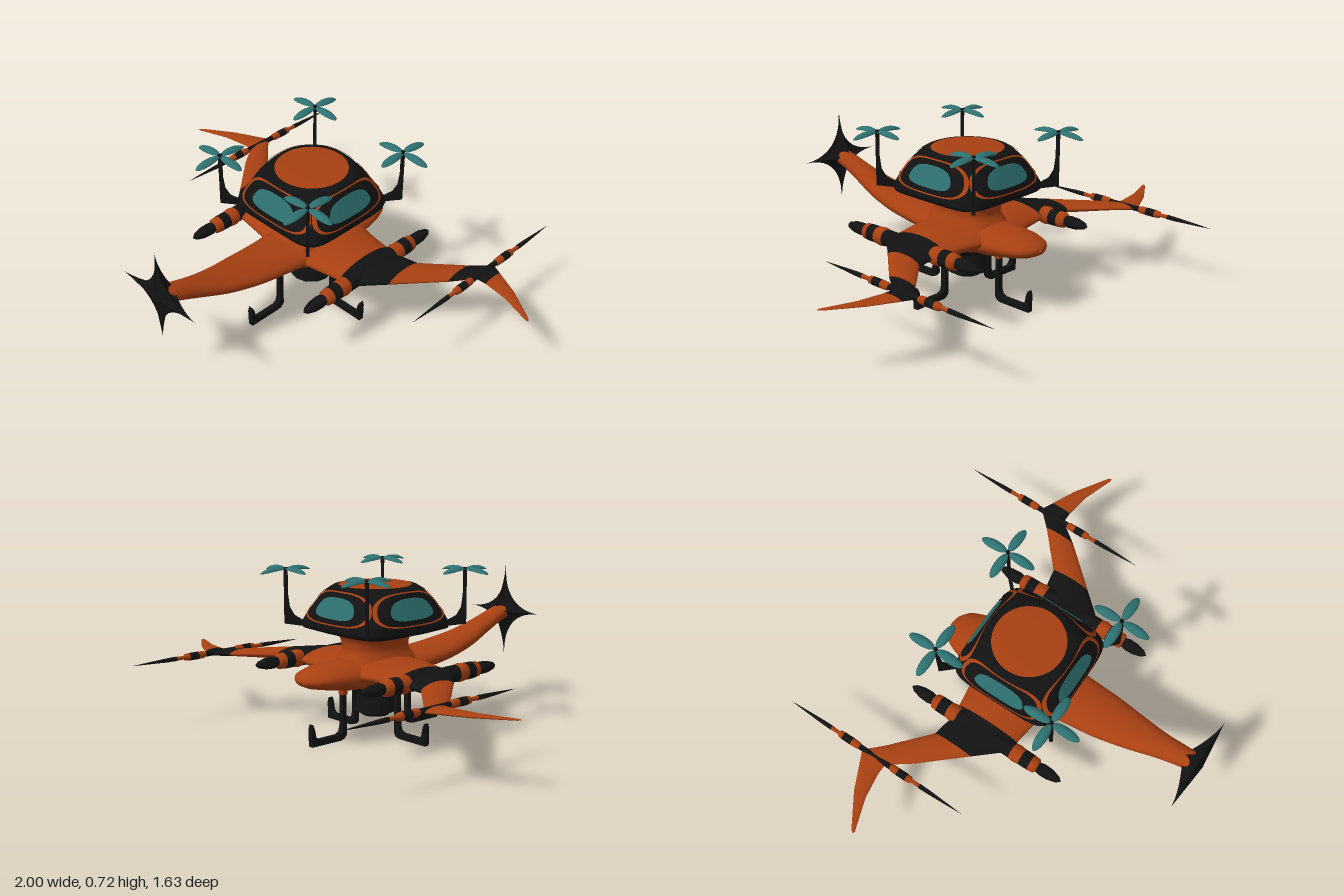
import * as THREE from 'three';

const ORANGE = 0xa84012, BLACK = 0x121212, TEAL = 0x2e7070;
const CZ = -0.04; // cabin centre along z
const mats = {};
const mat = (color) => (mats[color] ??= new THREE.MeshStandardMaterial({ color, side: THREE.DoubleSide }));

function add(parent, name, geometry, color) {
  const m = new THREE.Mesh(geometry, mat(color));
  m.name = name;
  parent.add(m);
  return m;
}

// Surface from fn(row, angle), closed around the angle
function skin(fn, rows, cols = 32, flip = false) {
  const pos = [], idx = [];
  for (let i = 0; i <= rows; i++)
    for (let j = 0; j < cols; j++) pos.push(...fn(i / rows, (j / cols) * Math.PI * 2));
  for (let i = 0; i < rows; i++)
    for (let j = 0; j < cols; j++) {
      const a = i * cols + j, b = i * cols + ((j + 1) % cols), c = a + cols, d = b + cols;
      idx.push(...(flip ? [a, c, b, b, c, d] : [a, b, c, b, d, c]));
    }
  const g = new THREE.BufferGeometry();
  g.setAttribute('position', new THREE.Float32BufferAttribute(pos, 3));
  g.setIndex(idx);
  g.computeVertexNormals();
  return g;
}

const pw = (v, e) => Math.sign(v) * Math.abs(v) ** e;

// Row of a table at t in 0..1, linear between rows
function rowAt(rows, t) {
  const f = t * (rows.length - 1), i = Math.min(Math.floor(f), rows.length - 2);
  return rows[i].map((v, k) => v + (rows[i + 1][k] - v) * (f - i));
}

// Solid of revolution along z from [radius, z] points
function spindle(points) {
  const g = new THREE.LatheGeometry(points.map(([r, z]) => new THREE.Vector2(r, z)), 20);
  return g.rotateX(Math.PI / 2);
}

function extrude(points, depth) {
  const s = new THREE.Shape(points.map(([x, y]) => new THREE.Vector2(x, y)));
  const g = new THREE.ExtrudeGeometry(s, { depth, bevelEnabled: false });
  return g.translate(0, 0, -depth / 2);
}

// Cabin: [y, half width, squareness], a rounded square turning into a circle at the top
const CABIN = [[0.425, 0.13, 3], [0.445, 0.2, 4], [0.462, 0.245, 6], [0.48, 0.25, 6], [0.52, 0.237, 5], [0.56, 0.22, 4],
  [0.6, 0.203, 3.2], [0.63, 0.186, 2.4], [0.641, 0.175, 2.1], [0.645, 0.155, 2]];

function cabinDepth(u, y) {
  let i = CABIN.findIndex((r) => r[0] > y);
  if (i < 1) i = CABIN.length - 1;
  const a = CABIN[i - 1], b = CABIN[i], t = (y - a[0]) / (b[0] - a[0]);
  const h = a[1] + (b[1] - a[1]) * t, n = a[2] + (b[2] - a[2]) * t;
  return Math.max(0, h ** n - Math.abs(u) ** n) ** (1 / n);
}

// Rounded panel lying on one cabin wall, hollow when s0 > 0
function cabinPanel(a, b, s0, lift) {
  return skin((t, q) => {
    const s = s0 + (1 - s0) * t;
    const v = s * pw(Math.sin(q), 0.7);
    const u = a * s * pw(Math.cos(q), 0.7) * (1 - 0.18 * v), y = 0.562 + b * v;
    return [u, y + lift * 0.4, cabinDepth(u, y) + lift];
  }, s0 ? 2 : 10, 56, true);
}

function makeCabin() {
  const g = new THREE.Group();
  g.name = 'cabin';
  add(g, 'cabinShell', skin((t, q) => {
    const [y, h, n] = CABIN[Math.round(t * (CABIN.length - 1))];
    return [h * pw(Math.sin(q), 2 / n), y, h * pw(Math.cos(q), 2 / n)];
  }, CABIN.length - 1, 72), BLACK);
  add(g, 'roofDisc', new THREE.LatheGeometry([[0.157, 0.644], [0.15, 0.647], [0.08, 0.65], [0, 0.651]]
    .map((p) => new THREE.Vector2(...p)), 40), ORANGE);
  for (let k = 0; k < 4; k++) {
    const turn = (k * Math.PI) / 2;
    add(g, 'windowRim', cabinPanel(0.185, 0.068, 0.92, 0.004), ORANGE).rotation.y = turn;
    add(g, 'window', cabinPanel(0.113, 0.043, 0, 0.004), TEAL).rotation.y = turn;
  }
  // Waist between cabin and hull
  const waist = [[0.28, 0.15, 0.2], [0.33, 0.13, 0.175], [0.37, 0.11, 0.148], [0.4, 0.11, 0.148], [0.425, 0.118, 0.155], [0.445, 0.14, 0.175]];
  add(g, 'waist', skin((t, q) => {
    const [y, a, b] = rowAt(waist, t);
    return [a * pw(Math.sin(q), 0.75), y, b * pw(Math.cos(q), 0.75)];
  }, 10, 40), ORANGE);
  g.position.z = CZ;
  return g;
}

// Corner mast with a four-bladed rotor
function makeRotor(sx, sz) {
  const g = new THREE.Group();
  g.name = 'cornerRotor';
  const fin = add(g, 'mast', extrude([[0.008, 0.7], [0.008, 0.475], [-0.1, 0.462], [-0.07, 0.49], [-0.035, 0.51],
    [-0.015, 0.545], [-0.008, 0.6], [-0.008, 0.7]], 0.014), BLACK);
  fin.rotation.y = Math.atan2(-sz, sx);
  add(g, 'hub', new THREE.CylinderGeometry(0.009, 0.009, 0.03, 12), BLACK).position.y = 0.7;
  const blade = new THREE.SphereGeometry(1, 20, 12).scale(0.062, 0.007, 0.022).translate(0.068, 0, 0);
  const p = blade.attributes.position;
  for (let i = 0; i < p.count; i++)
    p.setY(i, p.getY(i) + 0.713 - 2.6 * (p.getX(i) - 0.05) ** 2 - 14 * p.getZ(i) ** 2);
  blade.computeVertexNormals();
  for (let k = 0; k < 4; k++) add(g, 'blade', blade, TEAL).rotation.y = (k * Math.PI) / 2;
  g.position.set(sx * 0.257, 0, CZ + sz * 0.277);
  return g;
}

// Fuselage: [z, centre y, half width, half height]
function makeFuselage() {
  const rows = [[-0.455, 0.285, 0.001, 0.001], [-0.445, 0.285, 0.04, 0.018], [-0.41, 0.285, 0.085, 0.035], [-0.34, 0.285, 0.113, 0.05],
    [-0.2, 0.28, 0.13, 0.065], [0, 0.285, 0.135, 0.062], [0.2, 0.298, 0.118, 0.05], [0.35, 0.315, 0.105, 0.048],
    [0.5, 0.345, 0.08, 0.045], [0.62, 0.385, 0.057, 0.041], [0.72, 0.422, 0.046, 0.037], [0.79, 0.44, 0.04, 0.035]];
  const path = new THREE.CatmullRomCurve3(rows.map(([z, y]) => new THREE.Vector3(0, y, z)));
  const size = new THREE.CatmullRomCurve3(rows.map(([, , w, h]) => new THREE.Vector3(w, h, 0)));
  return skin((t, q) => {
    const c = path.getPoint(t), s = size.getPoint(t);
    return [Math.cos(q) * s.x, c.y + Math.sin(q) * s.y, c.z];
  }, 55, 32);
}

// Four-pointed fin at the end of the boom
function starSide(front) {
  return skin((s, q) => [
    0.215 * s * pw(Math.cos(q), 4), 0.44 + 0.21 * s * pw(Math.sin(q), 4),
    0.79 + (front ? 0.022 * (1 - s) : -0.075 * (1 - s) ** 1.6)], 12, 64, front);
}

// Swept wing: [x, centre z, half chord, half thickness]
const WING = [[0.08, -0.06, 0.19, 0.06], [0.2, -0.055, 0.165, 0.056], [0.3, -0.055, 0.15, 0.044], [0.36, -0.06, 0.14, 0.037],
  [0.46, -0.127, 0.092, 0.027], [0.62, -0.29, 0.072, 0.017], [0.69, -0.375, 0.06, 0.013], [0.74, -0.363, 0.048, 0.011],
  [0.85, -0.328, 0.03, 0.008], [0.99, -0.258, 0.009, 0.003], [1, -0.253, 0.001, 0.001]];

function makeWing(s) {
  const g = new THREE.Group();
  g.name = s > 0 ? 'leftWing' : 'rightWing';
  const part = (name, from, to, color) => {
    const rows = WING.slice(from, to + 1);
    add(g, name, skin((t, q) => {
      const [x, z, c, h] = rowAt(rows, t);
      return [s * x, 0.29 + h * pw(Math.cos(q), 1.2), z + c * Math.sin(q)];
    }, rows.length - 1, 28, s < 0), color);
  };
  part('wingRoot', 0, 2, ORANGE);
  part('wingCollar', 2, 4, BLACK);
  part('wingPanel', 4, 5, ORANGE);
  part('wingElbow', 5, 7, s > 0 ? BLACK : ORANGE);
  part('wingTip', 7, 10, ORANGE);
  // Pods pointing forward and back: [colour, profile], z measured from the pod centre
  const pod = [
    [BLACK, [[0.034, 0], [0.036, 0.14]]], [ORANGE, [[0.036, 0.14], [0.04, 0.16], [0.036, 0.19]]],
    [BLACK, [[0.036, 0.19], [0.036, 0.235]]], [ORANGE, [[0.036, 0.235], [0.033, 0.262], [0.022, 0.27]]],
    [BLACK, [[0.022, 0.27], [0.027, 0.29], [0.025, 0.33], [0.015, 0.367], [0, 0.385]]]];
  const needle = [
    [BLACK, [[0.012, 0.0], [0.012, 0.08]]], [ORANGE, [[0.012, 0.08], [0.016, 0.09], [0.017, 0.12]]],
    [BLACK, [[0.017, 0.12], [0.017, 0.165]]], [ORANGE, [[0.017, 0.165], [0.015, 0.185], [0.008, 0.19], [0.009, 0.23]]],
    [BLACK, [[0.01, 0.23], [0.009, 0.28], [0.004, 0.38], [0, 0.45]]]];
  for (const [name, bands, x, z] of [['pod', pod, 0.34, CZ], ['needle', needle, 0.685, -0.37]])
    for (const turn of [0, Math.PI])
      for (const [color, profile] of bands) {
        const m = add(g, name, spindle(profile), color);
        m.position.set(s * x, 0.293, z);
        m.rotation.y = turn;
      }
  return g;
}

export function createModel() {
  const model = new THREE.Group();
  model.name = 'aircraft';
  model.add(makeCabin());
  for (const sx of [-1, 1]) {
    model.add(makeWing(sx));
    for (const sz of [-1, 1]) model.add(makeRotor(sx, sz));
  }

  // Hull and tail
  add(model, 'fuselage', makeFuselage(), ORANGE);
  add(model, 'belly', new THREE.SphereGeometry(1, 32, 20).scale(0.16, 0.085, 0.21), ORANGE).position.set(0, 0.28, CZ);
  add(model, 'bellyRing', new THREE.CylinderGeometry(0.125, 0.095, 0.04, 24), BLACK).position.set(0, 0.212, CZ);
  add(model, 'tailStar', starSide(true), BLACK);
  add(model, 'tailStar', starSide(false), BLACK);

  // Lower thruster
  const bell = new THREE.CylinderGeometry(0.075, 0.094, 0.11, 12, 1).toNonIndexed();
  bell.computeVertexNormals();
  add(model, 'thruster', bell, BLACK).position.set(0, 0.155, CZ);
  add(model, 'thrusterNozzle', new THREE.CylinderGeometry(0.07, 0.06, 0.03, 12), BLACK).position.set(0, 0.095, CZ);

  // Four legs with upturned feet, one on each side
  const leg = extrude([[0, 0.27], [0, 0.02], [0.012, 0.005], [0.03, 0], [0.186, 0], [0.188, 0.075], [0.181, 0.095],
    [0.172, 0.075], [0.165, 0.04], [0.15, 0.026], [0.045, 0.026], [0.028, 0.035], [0.021, 0.06], [0.018, 0.27]], 0.024);
  for (let k = 0; k < 4; k++) {
    const g = new THREE.Group();
    g.name = 'landingLeg';
    const reach = k % 2 ? 0.178 : 0.125;
    add(g, 'leg', leg, BLACK).position.x = reach;
    add(g, 'legSocket', new THREE.BoxGeometry(0.024, 0.06, 0.028), ORANGE).position.set(reach + 0.009, 0.225, 0);
    g.rotation.y = (k * Math.PI) / 2;
    g.position.z = -0.036;
    model.add(g);
  }
  return model;
}
